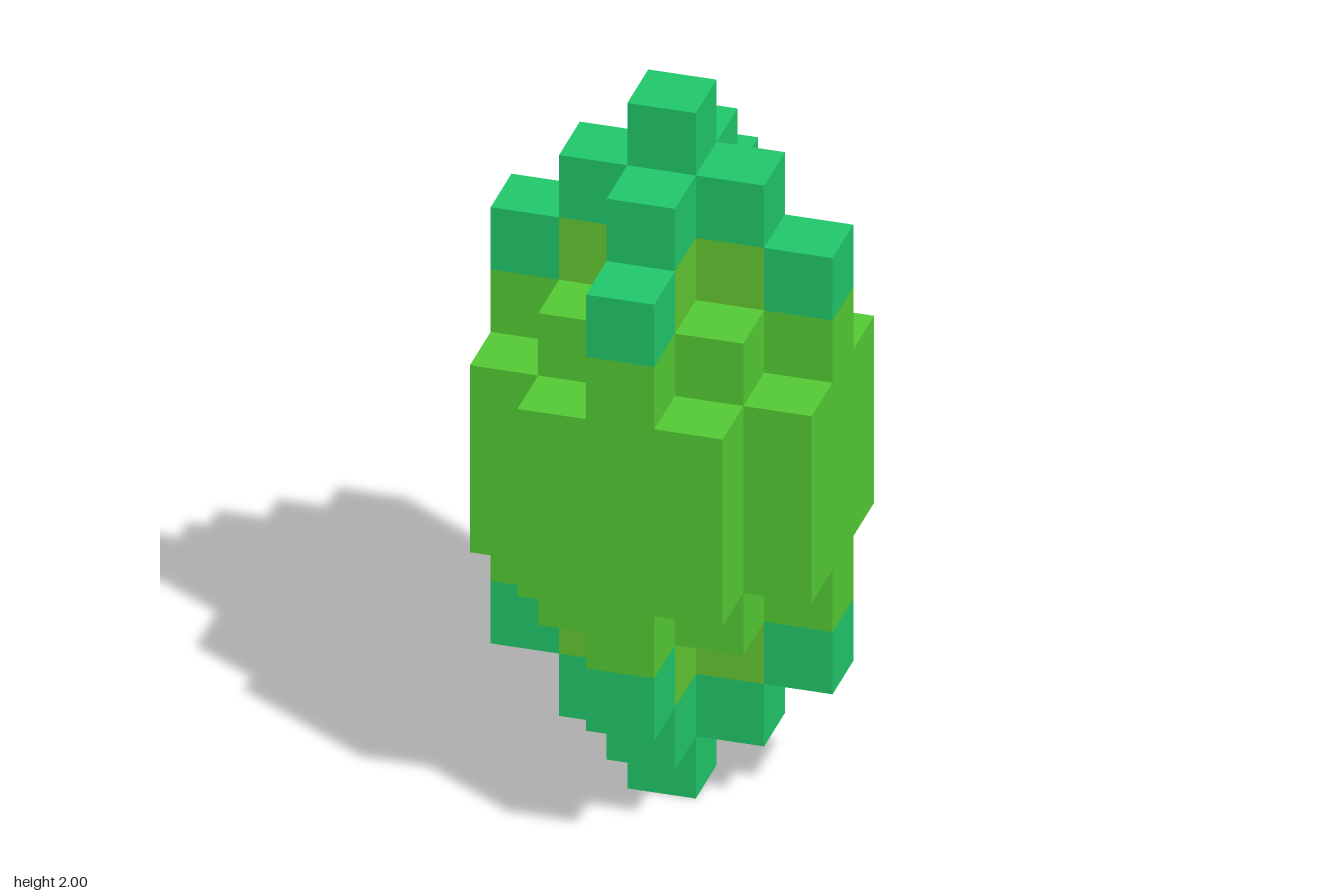
import * as THREE from 'three';
import { mergeGeometries } from 'three/addons/utils/BufferGeometryUtils.js';

const U = 2 / 11; // edge of one block

// Half height, in blocks above the middle layer, of the column at (x, z); -1 if empty
function reach(x, z) {
  const a = Math.abs(x), b = Math.abs(z);
  if (a > 2 || b > 2 || (a === 2 && b === 2)) return -1;
  return 5 - a - b - (a && b ? 1 : 0);
}

const filled = (x, y, z) => Math.abs(y) <= reach(x, z);

// Columns on the two axes have tips; the inner ring has a band just below its tip
function partOf(x, y, z) {
  const depth = reach(x, z) - Math.abs(y);
  const onAxis = x === 0 || z === 0;
  if (onAxis && depth === 0) return 'tips';
  if (onAxis && depth === 1 && Math.abs(x) + Math.abs(z) === 1) return 'innerBands';
  return 'body';
}

// Outward normals of a block's six faces
const SIDES = [[1, 0, 0], [-1, 0, 0], [0, 1, 0], [0, -1, 0], [0, 0, 1], [0, 0, -1]];
const FORWARD = new THREE.Vector3(0, 0, 1);

function blockFace(x, y, z, side) {
  const normal = new THREE.Vector3(...side);
  const face = new THREE.PlaneGeometry(U, U);
  face.applyQuaternion(new THREE.Quaternion().setFromUnitVectors(FORWARD, normal));
  face.translate(
    x * U + normal.x * U / 2,
    1 + y * U + normal.y * U / 2,
    z * U + normal.z * U / 2
  );
  return face;
}

export function createModel() {
  const materials = {
    tips: new THREE.MeshStandardMaterial({ color: 0x21c96b }),
    body: new THREE.MeshStandardMaterial({ color: 0x54cb35 }),
    innerBands: new THREE.MeshStandardMaterial({ color: 0x62c832 })
  };
  materials.tips.name = 'emerald green';
  materials.body.name = 'leaf green';
  materials.innerBands.name = 'yellowish green';

  // Collect only the exposed faces of the stepped crystal, sorted by part
  const faces = { tips: [], body: [], innerBands: [] };
  for (let x = -2; x <= 2; x++) {
    for (let z = -2; z <= 2; z++) {
      const h = reach(x, z);
      for (let y = -h; y <= h; y++) {
        for (const side of SIDES) {
          if (filled(x + side[0], y + side[1], z + side[2])) continue;
          faces[partOf(x, y, z)].push(blockFace(x, y, z, side));
        }
      }
    }
  }

  const crystal = new THREE.Group();
  crystal.name = 'crystal';
  for (const part of Object.keys(faces)) {
    const mesh = new THREE.Mesh(mergeGeometries(faces[part]), materials[part]);
    mesh.name = part;
    crystal.add(mesh);
  }
  return crystal;
}
